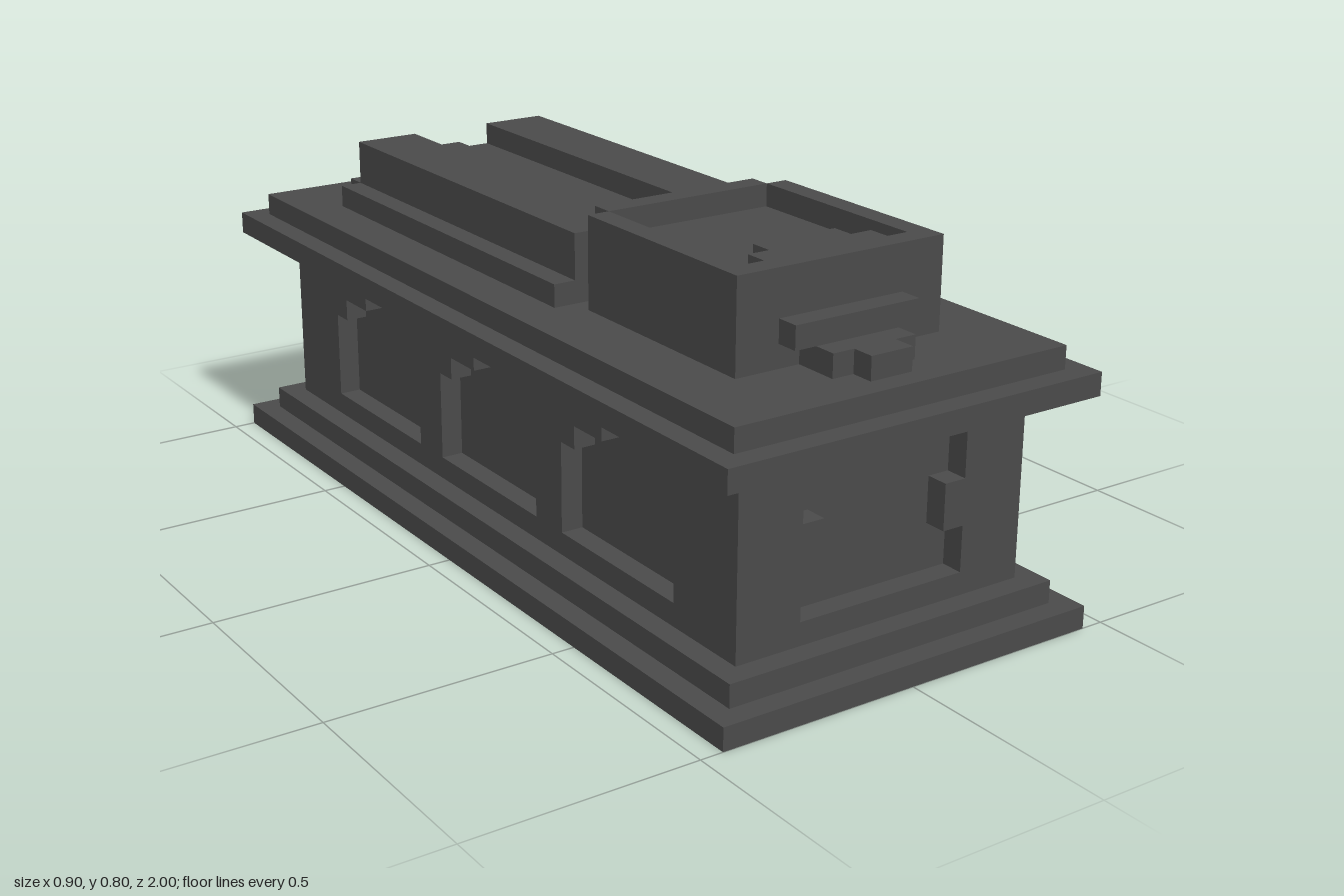
import * as THREE from 'three';

const stone = new THREE.MeshStandardMaterial({ color: 0x4a4a4a });
stone.name = 'darkStone';

const STEP = 0.05;
const points = (list) => list.map(([x, y]) => new THREE.Vector2(x, y));

// Mirrors a half outline (right side, first to last) into a closed symmetric outline
const mirrored = (half) => [...half, ...half.map(([x, y]) => [-x, y]).reverse()];

export function createModel() {
  const group = new THREE.Group();
  group.name = 'stoneTomb';

  const add = (name, geometry) => {
    const mesh = new THREE.Mesh(geometry, stone);
    mesh.name = name;
    group.add(mesh);
    return mesh;
  };

  // Box given by its limits on each axis
  const block = (name, x0, x1, y0, y1, z0, z1) =>
    add(name, new THREE.BoxGeometry(x1 - x0, y1 - y0, z1 - z0))
      .position.set((x0 + x1) / 2, (y0 + y1) / 2, (z0 + z1) / 2);

  // Flat slab with an outline in x and z, its top at the given height
  const slab = (name, outline, top) => {
    const geometry = new THREE.ExtrudeGeometry(new THREE.Shape(points(outline)), { depth: STEP, bevelEnabled: false });
    geometry.rotateX(Math.PI / 2);
    add(name, geometry).position.y = top;
  };

  // Wall panel pierced by openings, turned to face one side of the chest
  const panel = (name, halfWidth, openings, distance, angle) => {
    const shape = new THREE.Shape(points([[-halfWidth, 0.1], [halfWidth, 0.1], [halfWidth, 0.5], [-halfWidth, 0.5]]));
    shape.holes = openings.map((opening) => new THREE.Path(points(opening)));
    const geometry = new THREE.ExtrudeGeometry(shape, { depth: STEP, bevelEnabled: false });
    geometry.translate(0, 0, distance);
    geometry.rotateY(angle);
    add(name, geometry);
  };

  // Stepped plinth
  block('plinthLower', -0.45, 0.45, 0, 0.05, -1, 1);
  block('plinthUpper', -0.4, 0.4, 0.05, 0.1, -0.95, 0.95);

  // Chest core with recessed panels on all four sides
  block('chestCore', -0.3, 0.3, 0.1, 0.5, -0.85, 0.85);
  const notched = mirrored([
    [0.2, 0.15], [0.2, 0.25], [0.15, 0.25], [0.15, 0.35], [0.2, 0.35], [0.2, 0.45],
  ]);
  const arch = mirrored([
    [0.2, 0.15], [0.2, 0.35], [0.15, 0.35], [0.15, 0.4], [0.05, 0.4], [0.05, 0.45],
  ]);
  const arches = [-0.5, 0, 0.5].map((c) => arch.map(([x, y]) => [x + c, y]));
  panel('frontPanel', 0.35, [notched], 0.85, 0);
  panel('backPanel', 0.35, [notched], 0.85, Math.PI);
  panel('leftPanel', 0.85, arches, 0.3, Math.PI / 2);
  panel('rightPanel', 0.85, arches, 0.3, -Math.PI / 2);

  // Stepped lid
  block('lidLower', -0.45, 0.45, 0.5, 0.55, -1, 1);
  block('lidUpper', -0.4, 0.4, 0.55, 0.6, -0.95, 0.95);

  // Head block: solid base, stepped rim and rear wall around a shallow basin
  block('headBlock', -0.25, 0.25, 0.6, 0.75, 0.25, 0.75);
  slab('headRim', mirrored([
    [0.25, 0.75], [0.25, 0.25], [0.2, 0.25], [0.2, 0.7], [0.15, 0.7], [0.15, 0.65], [0.1, 0.65], [0.1, 0.6],
  ].reverse()).reverse(), 0.8);
  block('headRearWall', -0.2, 0.2, 0.6, 0.8, 0.2, 0.25);

  // Stepped ornament on the front of the head block
  block('ornamentBar', -0.15, 0.15, 0.65, 0.7, 0.75, 0.8);
  block('ornamentFoot', -0.1, 0.1, 0.6, 0.65, 0.75, 0.85);
  block('ornamentTip', -0.05, 0.05, 0.6, 0.65, 0.85, 0.9);

  // Long rear slab with a stepped tail
  slab('tailBase', mirrored([
    [0.3, 0.2], [0.3, -0.75], [0.25, -0.75], [0.25, -0.8], [0.15, -0.8], [0.15, -0.85], [0.05, -0.85], [0.05, -0.9],
  ]), 0.65);

  // Twin ridges with a groove between them
  block('grooveFloor', -0.1, 0.1, 0.65, 0.7, -0.75, 0.2);
  block('grooveTip', -0.05, 0.05, 0.65, 0.7, -0.8, -0.75);
  block('leftRidge', 0.1, 0.25, 0.65, 0.75, -0.75, 0.2);
  block('rightRidge', -0.25, -0.1, 0.65, 0.75, -0.75, 0.2);

  return group;
}
